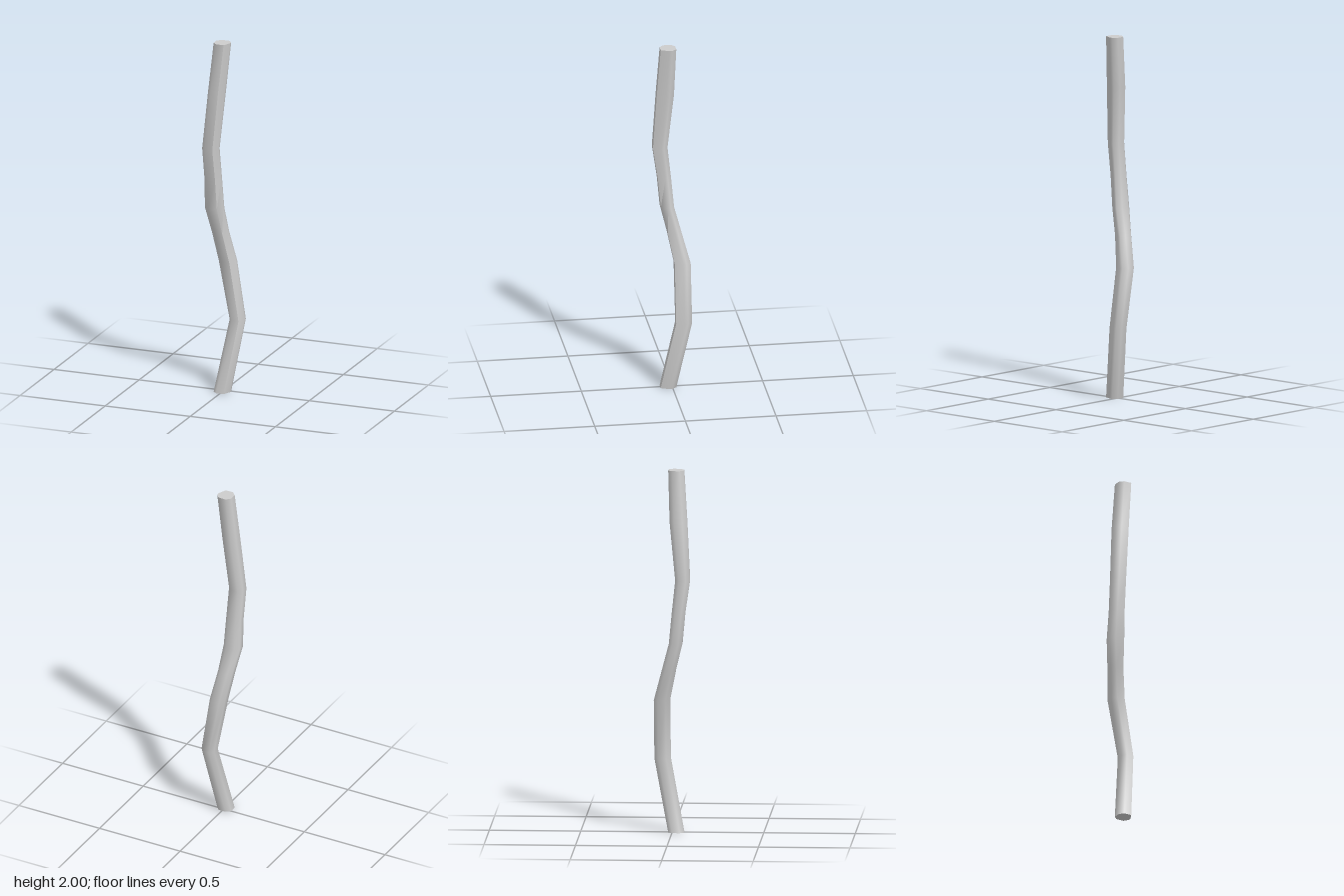
import * as THREE from 'three';
import { toCreasedNormals } from 'three/addons/utils/BufferGeometryUtils.js';

// Cross-sections from bottom to top: y, minX, maxX, minZ, maxZ
const sections = [
  [0, -0.045, 0.042, -0.021, 0.065],
  [0.4, 0.018, 0.097, -0.1, -0.012],
  [0.73, -0.046, 0.046, -0.1, -0.012],
  [0.9, -0.071, 0.017, -0.055, 0.022],
  [1.05, -0.098, 0.003, -0.015, 0.058],
  [1.22, -0.094, -0.004, 0.001, 0.074],
  [1.4, -0.098, -0.01, 0.02, 0.1],
  [1.72, -0.072, 0.016, -0.012, 0.083],
  [2, -0.045, 0.042, -0.021, 0.065],
];

// Chamfered outline inside a unit square (x, z)
const outline = [
  [0.26, 0], [0.76, 0], [1, 0.28], [1, 0.48],
  [0.77, 1], [0.26, 1], [0, 0.74], [0, 0.26],
];

function loft(sections, outline) {
  const n = outline.length, pos = [], idx = [];
  for (const [y, x0, x1, z0, z1] of sections) {
    for (const [u, v] of outline) pos.push(x0 + u * (x1 - x0), y, z0 + v * (z1 - z0));
  }
  // Side walls
  for (let s = 0; s < sections.length - 1; s++) {
    for (let i = 0; i < n; i++) {
      const a = s * n + i, b = s * n + (i + 1) % n;
      idx.push(a, a + n, b, b, a + n, b + n);
    }
  }
  // End caps
  const top = (sections.length - 1) * n;
  for (let i = 1; i < n - 1; i++) {
    idx.push(0, i, i + 1);
    idx.push(top, top + i + 1, top + i);
  }
  const g = new THREE.BufferGeometry();
  g.setAttribute('position', new THREE.Float32BufferAttribute(pos, 3));
  g.setIndex(idx);
  return toCreasedNormals(g, Math.PI / 3);
}

export function createModel() {
  const group = new THREE.Group();
  group.name = 'crookedStick';
  const shaft = new THREE.Mesh(
    loft(sections, outline),
    new THREE.MeshStandardMaterial({ color: 0xcccccc }),
  );
  shaft.name = 'shaft';
  group.add(shaft);
  return group;
}
